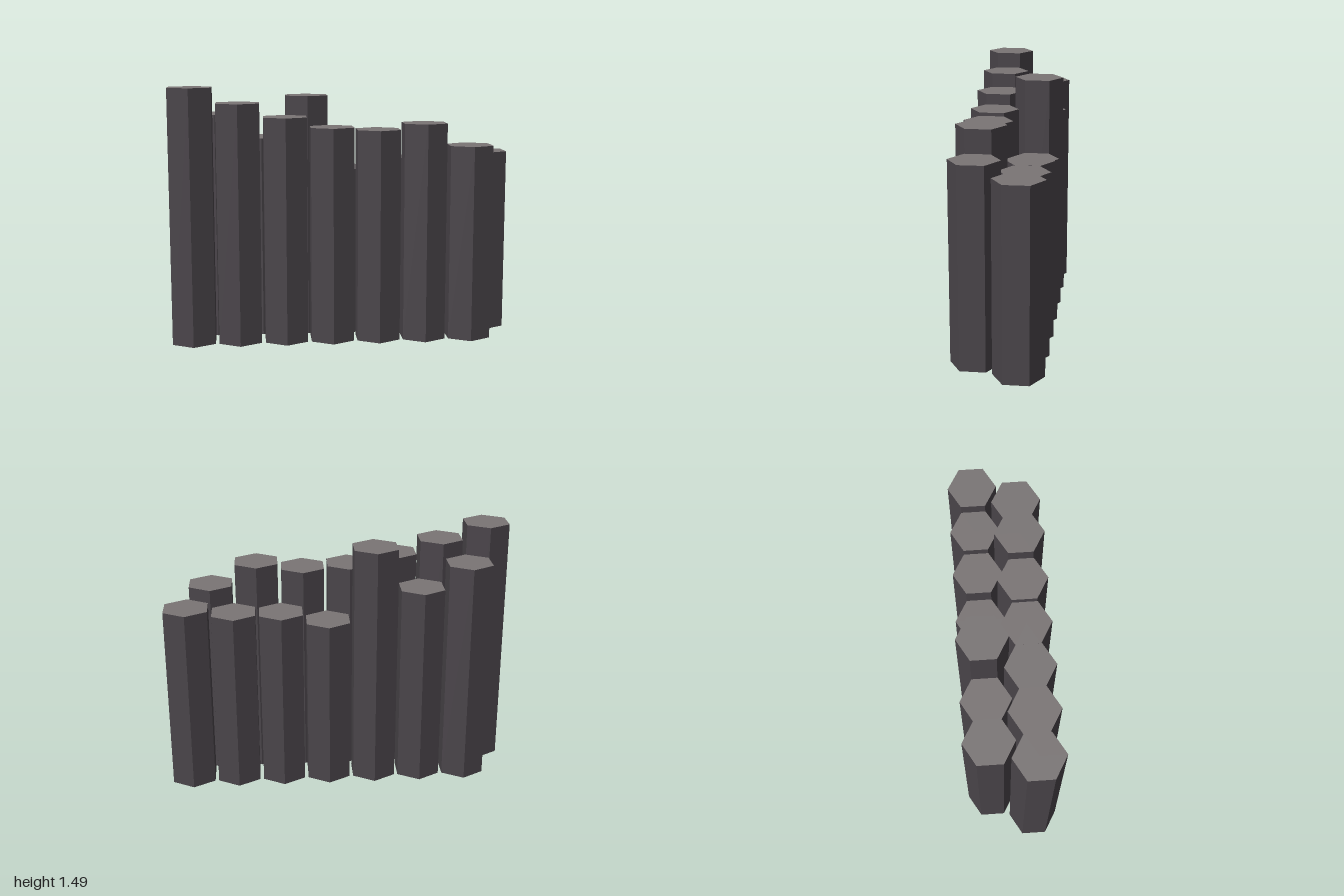
import * as THREE from 'three';

const RADIUS = 0.143;
const SPACING = 0.2695;

// Column heights per row, from -x to +x
const ROWS = [
  { name: 'frontColumn', x: -0.876, z: 0.125, heights: [1.485, 1.395, 1.315, 1.255, 1.24, 1.275, 1.145] },
  { name: 'backColumn', x: -0.741, z: -0.125, heights: [1.32, 1.18, 1.425, 0.995, 1.05, 1.055, 1.085] },
];

export function createModel() {
  const model = new THREE.Group();
  model.name = 'basaltColumns';

  const sideStone = new THREE.MeshStandardMaterial({ color: 0x4a454a, flatShading: true });
  sideStone.name = 'dark stone';
  const topStone = new THREE.MeshStandardMaterial({ color: 0x7a7575, flatShading: true });
  topStone.name = 'weathered stone top';

  // Two staggered rows of hexagonal columns, points facing front and back
  for (const row of ROWS) {
    row.heights.forEach((height, i) => {
      const geometry = new THREE.CylinderGeometry(RADIUS, RADIUS, height, 6);
      // Geometry groups: sides, top, bottom
      const column = new THREE.Mesh(geometry, [sideStone, topStone, sideStone]);
      column.name = `${row.name}${i + 1}`;
      column.position.set(row.x + i * SPACING, height / 2, row.z);
      model.add(column);
    });
  }
  return model;
}
